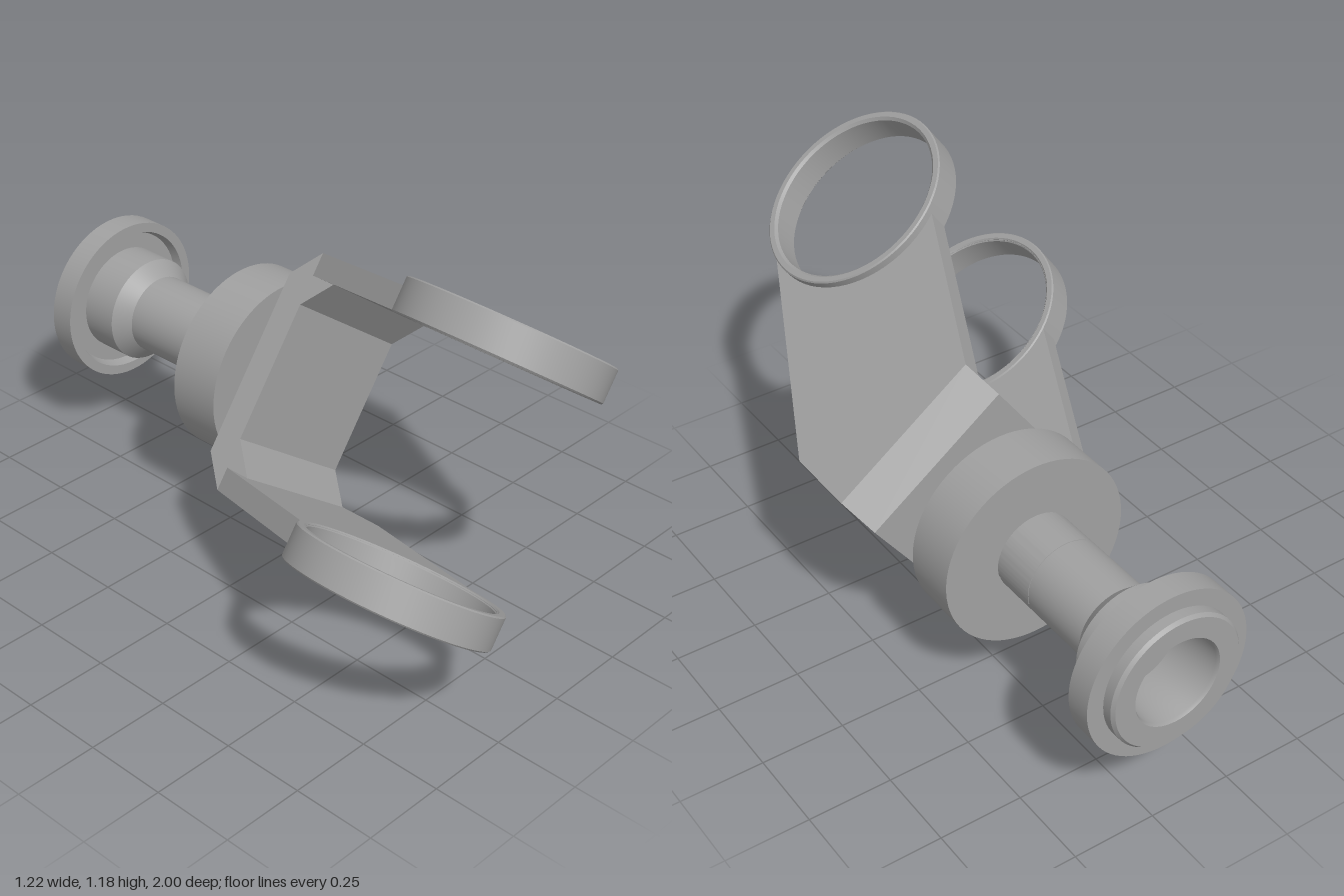
import * as THREE from 'three';
import { toCreasedNormals } from 'three/addons/utils/BufferGeometryUtils.js';

const vec = (pts) => pts.map(([x, y]) => new THREE.Vector2(x, y));

// Revolved profile with crisp corners and smooth round walls
function turned(pts, segments = 72) {
  return toCreasedNormals(new THREE.LatheGeometry(vec(pts), segments), 0.5);
}

export function createModel() {
  const steel = new THREE.MeshStandardMaterial({ color: 0xa0a0a0 });
  steel.name = 'grey steel';
  const model = new THREE.Group();
  model.name = 'forkedShaft';

  // Everything is laid out around the shaft axis, then rolled about z
  const body = new THREE.Group();
  body.name = 'rolledBody';
  body.position.set(0.19, 0.443, 0);
  body.rotation.z = -Math.PI / 5;
  model.add(body);

  const add = (name, geometry) => {
    const mesh = new THREE.Mesh(geometry, steel);
    mesh.name = name;
    body.add(mesh);
    return mesh;
  };

  // Yoke base: C-shaped section (z, height) swept across the width
  const half = [
    [-0.145, 0.28], [-0.065, 0.37], [0.015, 0.37], [0.015, 0.3], [-0.065, 0.21],
  ];
  const section = [...half, ...half.map(([z, q]) => [z, -q]).reverse()];
  const base = new THREE.ExtrudeGeometry(new THREE.Shape(vec(section)), { depth: 0.5, bevelEnabled: false });
  base.rotateY(-Math.PI / 2); // section x becomes z
  base.translate(0.25, 0, 0);
  add('yokeBase', base);

  // Arms: slanted plates that end in a ring
  const cx = -0.41, cz = 0.705, outer = 0.295, inner = 0.267;
  const outline = new THREE.Shape();
  outline.moveTo(-0.25, -0.065);
  outline.lineTo(0.25, -0.065);
  outline.lineTo(0.25, 0.16);
  outline.absarc(cx, cz, outer - 0.002, 0.5, 4.345, false);
  outline.closePath();
  const hole = new THREE.Path();
  hole.absarc(cx, cz, inner + 0.003, 0, Math.PI * 2, true);
  outline.holes.push(hole);

  // Ring section with small chamfers
  const h = 0.05, c = 0.008;
  const ringProfile = [
    [inner, -h + c], [inner + c, -h], [outer - c / 2, -h], [outer, -h + c / 2],
    [outer, h - c / 2], [outer - c / 2, h], [inner + c, h], [inner, h - c], [inner, -h + c],
  ];

  for (const [side, sign] of [['upper', 1], ['lower', -1]]) {
    const plate = new THREE.ExtrudeGeometry(outline, { depth: 0.07, bevelEnabled: false, curveSegments: 48 });
    plate.rotateX(Math.PI / 2);
    plate.translate(0, sign > 0 ? 0.37 : -0.3, 0);
    add(side + 'Arm', toCreasedNormals(plate, 0.3));
    add(side + 'Ring', turned(ringProfile)).position.set(cx, sign * 0.346, cz);
  }

  // Shaft: collar, large disc, stem, flared neck, flange and stepped bore
  const shaft = turned([
    [0, 0.14], [0.17, 0.14], [0.17, 0.178], [0.16, 0.182], [0.16, 0.21],
    [0.29, 0.21], [0.29, 0.375], [0.122, 0.375], [0.122, 0.745], [0.165, 0.79],
    [0.165, 0.91], [0.215, 0.91], [0.225, 0.882], [0.255, 0.882], [0.255, 0.96],
    [0.205, 0.96], [0.205, 0.99], [0.197, 1], [0.135, 1], [0.13, 0.99],
    [0.13, 0.83], [0.08, 0.83], [0.08, 0.65], [0, 0.65],
  ]);
  shaft.rotateX(-Math.PI / 2);
  add('shaft', shaft);

  // Interlocking jaw where the two stem halves meet
  const jawShape = new THREE.Shape();
  const a0 = -0.24 + Math.PI / 5, a1 = 2.13 + Math.PI / 5;
  jawShape.absarc(0, 0, 0.1235, a0, a1, false);
  jawShape.absarc(0, 0, 0.11, a1, a0, true);
  const jaw = new THREE.ExtrudeGeometry(jawShape, { depth: 0.14, bevelEnabled: false, curveSegments: 32 });
  jaw.translate(0, 0, -0.515);
  add('stemJaw', toCreasedNormals(jaw, 0.3));

  return model;
}
